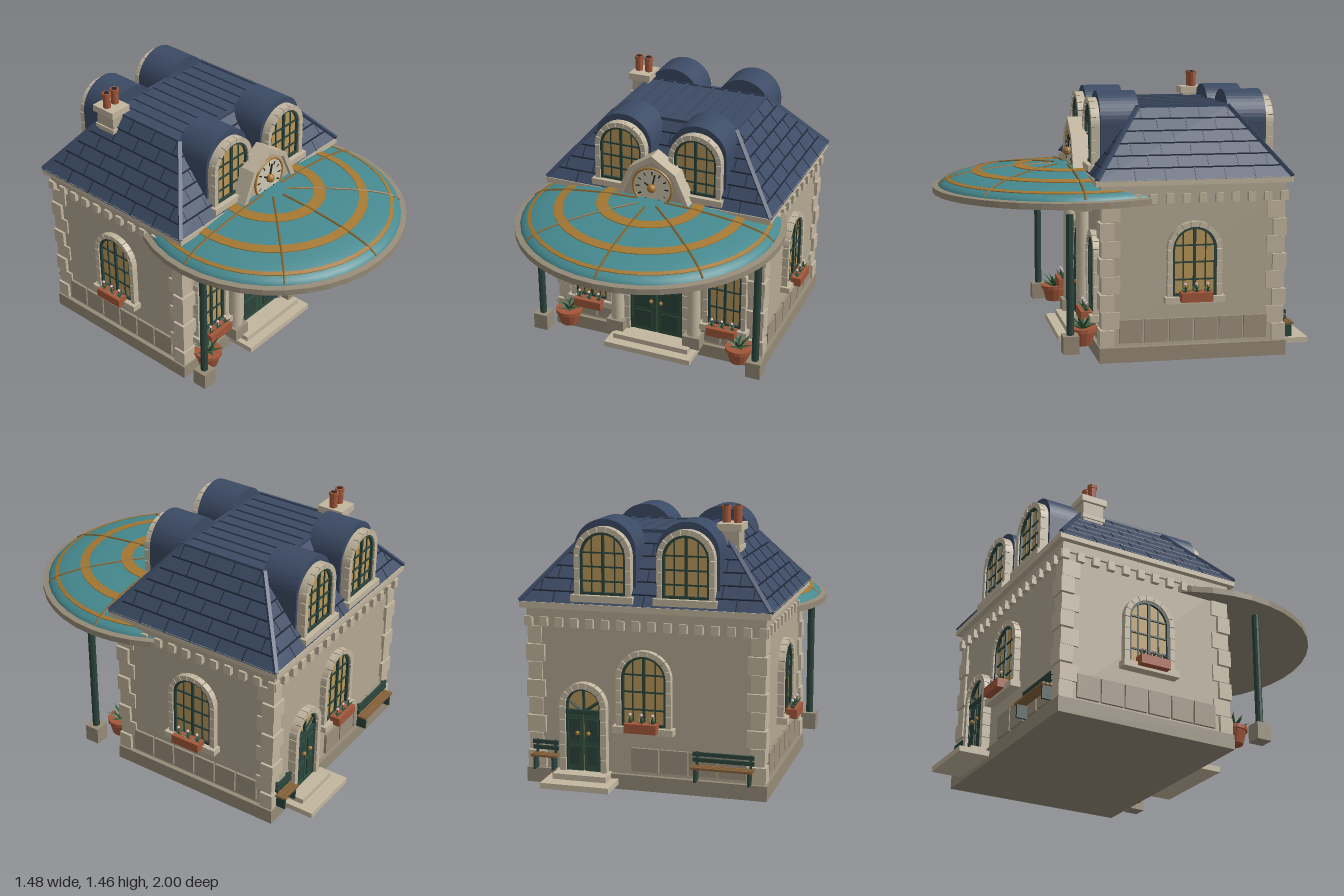
import * as THREE from 'three';

const mat = (color, smooth) => new THREE.MeshStandardMaterial({ color, flatShading: !smooth, side: THREE.DoubleSide });
const M = {
  wall: mat(0xb3a892), trim: mat(0xc2b69f), base: mat(0x958a77), panel: mat(0x9c907d), roof: mat(0x3b4a64),
  line: mat(0x232c3d), teal: mat(0x45898f, true), gold: mat(0xa57832), bronze: mat(0x80602c), glass: mat(0xb8975a),
  frame: mat(0x2c443c), door: mat(0x31503f), clay: mat(0xa3573a), leaf: mat(0x35583a), face: mat(0xd2c8b2),
  dark: mat(0x26262a), petal: mat(0xe3c3cf), wood: mat(0x86623a),
};
const ZC = -0.325; // centre of the house along z
const V = (x, y, z) => new THREE.Vector3(x, y, z);

function add(parent, name, geo, material, x = 0, y = 0, z = 0) {
  const m = new THREE.Mesh(geo, material);
  m.name = name;
  m.position.set(x, y, z);
  parent.add(m);
  return m;
}
function group(parent, name, x = 0, y = 0, z = 0, ry = 0) {
  const g = new THREE.Group();
  g.name = name;
  g.position.set(x, y, z);
  g.rotation.y = ry;
  parent.add(g);
  return g;
}
// Box given by its limits
const box = (p, name, m, x0, x1, y0, y1, z0, z1) =>
  add(p, name, new THREE.BoxGeometry(x1 - x0, y1 - y0, z1 - z0), m, (x0 + x1) / 2, (y0 + y1) / 2, (z0 + z1) / 2);
// Square bar between two points
function bar(p, name, m, a, b, w) {
  const d = b.clone().sub(a), c = a.clone().add(b).multiplyScalar(0.5);
  const o = add(p, name, new THREE.BoxGeometry(w, w, d.length()), m, c.x, c.y, c.z);
  o.quaternion.setFromUnitVectors(V(0, 0, 1), d.normalize());
}
const extrude = (shape, depth) => new THREE.ExtrudeGeometry(shape, { depth, bevelEnabled: false, curveSegments: 12 });
function arch(hw, y0, yc, Type = THREE.Shape) {
  const s = new Type();
  s.moveTo(-hw, y0);
  s.lineTo(hw, y0);
  s.lineTo(hw, yc);
  s.absarc(0, yc, hw, 0, Math.PI, false);
  s.closePath();
  return s;
}

// Arch stones and jamb blocks around an opening, facing +z
function surround(g, hw, y0, yc, t, depth) {
  const n = 9;
  for (let i = 0; i < n; i++) {
    const a = (i + 0.04) / n * Math.PI, b = (i + 0.96) / n * Math.PI, s = new THREE.Shape();
    s.absarc(0, yc, hw, a, b, false);
    s.absarc(0, yc, hw - t, b, a, true);
    add(g, 'archStone', extrude(s, depth), M.trim);
  }
  const k = Math.max(2, Math.round((yc - y0) / 0.07)), h = (yc - y0) / k;
  for (const s of [-1, 1]) for (let i = 0; i < k; i++) {
    const x = s * (hw - t / 2);
    box(g, 'jambStone', M.trim, x - t / 2, x + t / 2, y0 + i * h, y0 + (i + 0.96) * h, 0, depth);
  }
}
function archWindow(p, x, z, hw, y0, yc) {
  const g = group(p, 'archedWindow', x, 0, z), r = hw - 0.027;
  surround(g, hw, y0, yc, 0.028, 0.035);
  add(g, 'glass', extrude(arch(r, y0, yc), 0.012), M.glass);
  const f = arch(r, y0, yc);
  f.holes.push(arch(r - 0.014, y0 + 0.014, yc, THREE.Path));
  add(g, 'windowFrame', extrude(f, 0.026), M.frame);
  box(g, 'mullion', M.frame, -0.007, 0.007, y0, yc + r, 0, 0.024);
  for (const k of [0.35, 0.72, 1.08]) {
    const y = y0 + (yc - y0) * k;
    box(g, 'glazingBar', M.frame, -r, r, y - 0.004, y + 0.004, 0, 0.02);
  }
  for (const s of [-1, 1]) box(g, 'glazingBar', M.frame, s * r / 2 - 0.003, s * r / 2 + 0.003, y0, yc + r * 0.85, 0, 0.018);
  box(g, 'sill', M.trim, -hw - 0.015, hw + 0.015, y0 - 0.035, y0, 0, 0.055);
  return g;
}
// Tuft of pointed leaves
function tuft(p, x, y, z, size, n) {
  const g = group(p, 'plant', x, y, z);
  for (let i = 0; i < n; i++) {
    const geo = new THREE.ConeGeometry(size * 0.2, size, 4).translate(0, size / 2, 0).scale(1, 1, 0.4);
    const o = add(g, 'leaf', geo, M.leaf);
    o.rotation.order = 'YXZ';
    o.rotation.set(i % 2 ? 1.15 : 0.65, i / n * Math.PI * 2, 0);
  }
  return g;
}
function planter(g, y) {
  box(g, 'flowerBox', M.clay, -0.085, 0.085, y - 0.05, y, 0.035, 0.095);
  for (const x of [-0.06, 0, 0.06]) {
    const t = tuft(g, x, y, 0.065, 0.042, 6);
    add(t, 'stem', new THREE.CylinderGeometry(0.003, 0.003, 0.04, 5), M.leaf, 0, 0.02, 0);
    add(t, 'flower', new THREE.IcosahedronGeometry(0.009, 0), M.petal, 0, 0.042, 0);
  }
}
function archDoor(p, x, z, hw, yc, split) {
  const g = group(p, 'archedDoor', x, 0, z), r = hw - 0.03, y0 = 0.085;
  surround(g, hw, y0, yc, 0.032, 0.045);
  add(g, 'transomGlass', extrude(arch(r, y0, yc), 0.012), M.glass);
  const f = arch(r, y0, yc);
  f.holes.push(arch(r - 0.012, y0, yc, THREE.Path));
  add(g, 'doorFrame', extrude(f, 0.03), M.frame);
  box(g, 'transomBar', M.frame, -r, r, split - 0.01, split + 0.012, 0, 0.035);
  for (const a of [0.45, Math.PI / 2, Math.PI - 0.45])
    bar(g, 'fanBar', M.frame, V(0, split, 0.018), V(Math.cos(a) * r * 0.9, split + Math.sin(a) * (yc + r - split), 0.018), 0.012);
  for (const s of [-1, 1]) {
    const c = s * r / 2, w = r / 2 - 0.003;
    box(g, 'doorLeaf', M.door, c - w, c + w, y0, split - 0.01, 0, 0.025);
    const h = split - y0;
    for (const [a, b] of [[0.1, 0.42], [0.5, 0.88]])
      box(g, 'doorPanel', M.frame, c - w * 0.65, c + w * 0.65, y0 + h * a, y0 + h * b, 0.02, 0.031);
    add(g, 'doorKnob', new THREE.SphereGeometry(0.012, 8, 6), M.gold, s * 0.03, y0 + h * 0.65, 0.04);
  }
}
function dormer(p, x, z) {
  const g = group(p, 'dormer', x, 0, z);
  add(g, 'dormerRoof', extrude(arch(0.165, 0.97, 1.235), 0.21), M.roof, 0, 0, -0.21);
  add(g, 'dormerWall', extrude(arch(0.15, 0.97, 1.215), 0.02), M.trim);
  archWindow(g, 0, 0.012, 0.15, 1.015, 1.215);
}
function bench(p, x, z, w) {
  const g = group(p, 'bench', x, 0, z);
  for (const s of [-1, 1]) {
    const c = s * (w / 2 - 0.02);
    box(g, 'benchLeg', M.frame, c - 0.006, c + 0.006, 0.085, 0.16, 0.02, 0.07);
    box(g, 'benchPost', M.frame, c - 0.006, c + 0.006, 0.085, 0.235, 0.01, 0.024);
  }
  for (const zz of [0.02, 0.04, 0.06]) box(g, 'seatSlat', M.wood, -w / 2, w / 2, 0.155, 0.167, zz, zz + 0.016);
  for (const y of [0.185, 0.215]) box(g, 'backSlat', M.frame, -w / 2, w / 2, y, y + 0.02, 0.02, 0.032);
}

export function createModel() {
  const root = new THREE.Group();
  const house = group(root, 'house', 0, 0, ZC);
  box(house, 'plinth', M.base, -0.645, 0.645, 0, 0.08, -0.507, 0.507);
  box(house, 'walls', M.wall, -0.62, 0.62, 0.08, 0.94, -0.485, 0.485);
  box(house, 'frieze', M.wall, -0.632, 0.632, 0.885, 0.94, -0.497, 0.497);
  box(house, 'cornice', M.trim, -0.662, 0.662, 0.938, 0.97, -0.527, 0.527);

  // Hipped roof with a flat ribbed top
  const roof = new THREE.BoxGeometry(2, 0.355, 2), rp = roof.attributes.position;
  for (let i = 0; i < rp.count; i++) {
    const up = rp.getY(i) > 0;
    rp.setX(i, rp.getX(i) * (up ? 0.36 : 0.665));
    rp.setZ(i, rp.getZ(i) * (up ? 0.25 : 0.525));
  }
  roof.computeVertexNormals();
  add(house, 'roof', roof, M.roof, 0, 1.1425, 0);
  for (let i = 0; i <= 9; i++) bar(house, 'roofRib', M.roof, V(-0.36 + i * 0.08, 1.322, -0.25), V(-0.36 + i * 0.08, 1.322, 0.25), 0.014);
  for (const s of [-1, 1]) {
    bar(house, 'ridgeCap', M.roof, V(-0.365, 1.32, s * 0.25), V(0.365, 1.32, s * 0.25), 0.018);
    for (const t of [-1, 1]) bar(house, 'hipCap', M.roof, V(s * 0.66, 0.972, t * 0.522), V(s * 0.36, 1.32, t * 0.25), 0.02);
  }

  // Four sides: [angle, wall half length, half depth, roof bottom/top half length, roof bottom/top depth, skirting gap]
  const F = [0, 0.62, 0.485, 0.665, 0.36, 0.525, 0.25], S = [Math.PI / 2, 0.485, 0.62, 0.525, 0.25, 0.665, 0.36];
  const gaps = [[-0.2, 0.2], [9, 9], [-0.46, -0.19], [9, 9]];
  const walls = [0, 1, 2, 3].map((k) => {
    const [, hl, hd, lb, lt, db, dt] = k % 2 ? S : F;
    const g = group(house, ['frontSide', 'leftSide', 'backSide', 'rightSide'][k], 0, 0, 0, k * Math.PI / 2);
    const L = (v) => lb + (lt - lb) * v, P = (x, v) => V(x, 0.965 + 0.355 * v, db + (dt - db) * v);
    for (let r = 0; r < 6; r++) {
      const v0 = r / 6, v1 = (r + 1) / 6;
      if (r) bar(g, 'slateCourse', M.line, P(-L(v0), v0), P(L(v0), v0), 0.007);
      for (let x = -0.64 + (r % 2) * 0.08; x < 0.66; x += 0.16)
        if (Math.abs(x) < L(v1)) bar(g, 'slateJoint', M.line, P(x, v0), P(x, v1), 0.005);
    }
    const n = Math.round(hl * 2 / 0.085);
    for (let i = 0; i <= n; i++) {
      const x = -hl + i * 2 * hl / n;
      box(g, 'dentil', M.trim, x - 0.02, x + 0.02, 0.84, 0.89, hd - 0.01, hd + 0.025);
    }
    // Skirting stones
    const m = Math.round((hl - 0.08) * 2 / 0.145), w = (hl - 0.08) * 2 / m;
    for (let i = 0; i < m; i++) {
      const x = -hl + 0.08 + i * w;
      if (x + w > gaps[k][0] + 0.02 && x < gaps[k][1] - 0.02) continue;
      box(g, 'skirtingStone', M.panel, x + 0.005, x + w - 0.005, 0.1, k ? 0.225 : 0.17, hd - 0.01, hd + 0.014);
    }
    return { g, hd };
  });

  // Corner stones
  for (const sx of [-1, 1]) for (const sz of [-1, 1]) for (let i = 0; i < 8; i++) {
    const w = i % 2 ? 0.075 : 0.1, d = i % 2 ? 0.1 : 0.075, e = i % 2 ? 0.01 : 0.018;
    const y = 0.083 + i * 0.095;
    add(house, 'cornerStone', new THREE.BoxGeometry(w, 0.089, d), M.trim, sx * (0.62 + e - w / 2), y + 0.045, sz * (0.485 + e - d / 2));
  }

  // Windows, doors and dormers
  const [front, left, back, right] = walls;
  for (const s of [-1, 1]) planter(archWindow(front.g, s * 0.41, front.hd, 0.127, 0.235, 0.545), 0.245);
  for (const w of [left, back, right]) planter(archWindow(w.g, 0, w.hd, 0.147, 0.345, 0.595), 0.375);
  archDoor(front.g, 0, front.hd, 0.195, 0.465, 0.415);
  archDoor(back.g, -0.325, back.hd, 0.127, 0.43, 0.4);
  for (const w of [front, back]) for (const s of [-1, 1]) dormer(w.g, s * 0.218, 0.455);
  bench(back.g, 0.42, back.hd, 0.32);
  bench(back.g, -0.535, back.hd, 0.14);

  // Steps
  box(root, 'frontLowerStep', M.trim, -0.262, 0.262, 0.028, 0.06, 0.17, 0.345);
  box(root, 'frontUpperStep', M.trim, -0.23, 0.23, 0.06, 0.09, 0.15, 0.29);
  box(root, 'backLowerStep', M.trim, 0.14, 0.51, 0.025, 0.055, -1.0, -0.8);
  box(root, 'backUpperStep', M.trim, 0.18, 0.47, 0.055, 0.085, -0.92, -0.8);

  // Columns, canopy posts and potted plants
  for (const s of [-1, 1]) {
    const c = group(root, 'column', s * 0.235, 0, 0.205);
    box(c, 'columnBase', M.panel, -0.052, 0.052, 0.08, 0.155, -0.05, 0.05);
    add(c, 'columnShaft', new THREE.CylinderGeometry(0.034, 0.038, 0.6, 16), mat(0xc2b69f, true), 0, 0.455, 0);
    box(c, 'columnCapital', M.panel, -0.052, 0.052, 0.75, 0.797, -0.05, 0.05);
    const p = group(root, 'canopyPost', s * 0.65, 0, 0.338);
    box(p, 'postBase', M.base, -0.042, 0.042, 0.07, 0.165, -0.042, 0.042);
    add(p, 'postShaft', new THREE.CylinderGeometry(0.02, 0.02, 0.64, 10), M.frame, 0, 0.48, 0);
    const pot = group(root, 'pottedPlant', s * 0.525, 0, 0.255);
    const prof = [[0, 0.08], [0.052, 0.08], [0.07, 0.15], [0.078, 0.152], [0.078, 0.173], [0.065, 0.173], [0, 0.165]];
    add(pot, 'pot', new THREE.LatheGeometry(prof.map(([x, y]) => new THREE.Vector2(x, y)), 14), M.clay);
    tuft(pot, 0, 0.165, 0, 0.1, 12);
  }

  // Round canopy with bands and ribs
  const can = group(root, 'canopy', 0, 0, 0.262);
  const domeY = (r) => 0.865 + 0.118 * Math.sqrt(Math.max(0, 1 - (r / 0.71) ** 2));
  const lathe = (pts) => new THREE.LatheGeometry(pts.map(([x, y]) => new THREE.Vector2(x, y)), 40);
  const dome = [];
  for (let i = 0; i <= 14; i++) { const r = 0.71 * Math.cos(i / 28 * Math.PI); dome.push([r, domeY(r)]); }
  add(can, 'canopyDome', lathe(dome), M.teal);
  add(can, 'canopyRim', lathe([[0, 0.835], [0.738, 0.835], [0.738, 0.868], [0.7, 0.874], [0.69, 0.86]]), M.base);
  for (const [a, b] of [[0.23, 0.295], [0.475, 0.525], [0.648, 0.667]])
    add(can, 'canopyBand', lathe([[a, domeY(a) - 0.003], [a, domeY(a) + 0.004], [b, domeY(b) + 0.004], [b, domeY(b) - 0.003]]), M.gold);
  for (let i = 0; i < 8; i++) {
    const a = i * Math.PI / 4, pts = [];
    for (let j = 0; j <= 10; j++) { const r = 0.08 + 0.625 * Math.sin(j / 20 * Math.PI); pts.push(V(r * Math.sin(a), domeY(r), r * Math.cos(a))); }
    add(can, 'canopyRib', new THREE.TubeGeometry(new THREE.CatmullRomCurve3(pts), 16, 0.007, 6), M.bronze);
  }

  // Clock gable
  const clock = group(root, 'clockGable', 0, 0, 0.15);
  const penta = (k, Type) => new Type([[-0.225, 0.95], [0.225, 0.95], [0.135, 1.15], [0, 1.24], [-0.135, 1.15]]
    .map(([x, y]) => new THREE.Vector2(x * k, 1.05 + (y - 1.05) * k)));
  const edge = penta(1, THREE.Shape);
  edge.holes.push(penta(0.84, THREE.Path));
  add(clock, 'gableTrim', extrude(edge, 0.1), M.trim);
  add(clock, 'gableBody', extrude(penta(0.9, THREE.Shape), 0.08), M.wall);
  add(clock, 'clockFace', new THREE.CylinderGeometry(0.11, 0.11, 0.012, 32), M.face, 0, 1.05, 0.085).rotation.x = Math.PI / 2;
  add(clock, 'clockRing', new THREE.TorusGeometry(0.113, 0.007, 6, 32), M.gold, 0, 1.05, 0.09);
  for (let i = 0; i < 12; i++) {
    const a = i * Math.PI / 6, c = Math.cos(a), s = Math.sin(a);
    bar(clock, 'hourMark', M.dark, V(c * 0.075, 1.05 + s * 0.075, 0.092), V(c * 0.095, 1.05 + s * 0.095, 0.092), 0.006);
  }
  bar(clock, 'minuteHand', M.dark, V(0, 1.05, 0.096), V(0.018, 1.13, 0.096), 0.008);
  bar(clock, 'hourHand', M.dark, V(0, 1.05, 0.096), V(-0.045, 1.075, 0.096), 0.008);
  add(clock, 'clockBoss', new THREE.SphereGeometry(0.025, 12, 8), M.gold, 0, 1.05, 0.1);

  // Chimney
  const ch = group(root, 'chimney', -0.39, 0, -0.55);
  box(ch, 'chimneyStack', M.wall, -0.05, 0.05, 1.0, 1.34, -0.06, 0.06);
  box(ch, 'chimneyCollar', M.trim, -0.058, 0.058, 1.24, 1.262, -0.068, 0.068);
  box(ch, 'chimneyCap', M.trim, -0.065, 0.065, 1.338, 1.375, -0.075, 0.075);
  for (const s of [-1, 1]) {
    const x = s * 0.03;
    add(ch, 'chimneyPot', new THREE.CylinderGeometry(0.022, 0.022, 0.09, 12), M.clay, x, 1.415, 0);
    add(ch, 'potRim', new THREE.CylinderGeometry(0.026, 0.026, 0.018, 12), M.clay, x, 1.453, 0);
    add(ch, 'potMouth', new THREE.CylinderGeometry(0.016, 0.016, 0.002, 12), M.dark, x, 1.463, 0);
  }
  return root;
}
